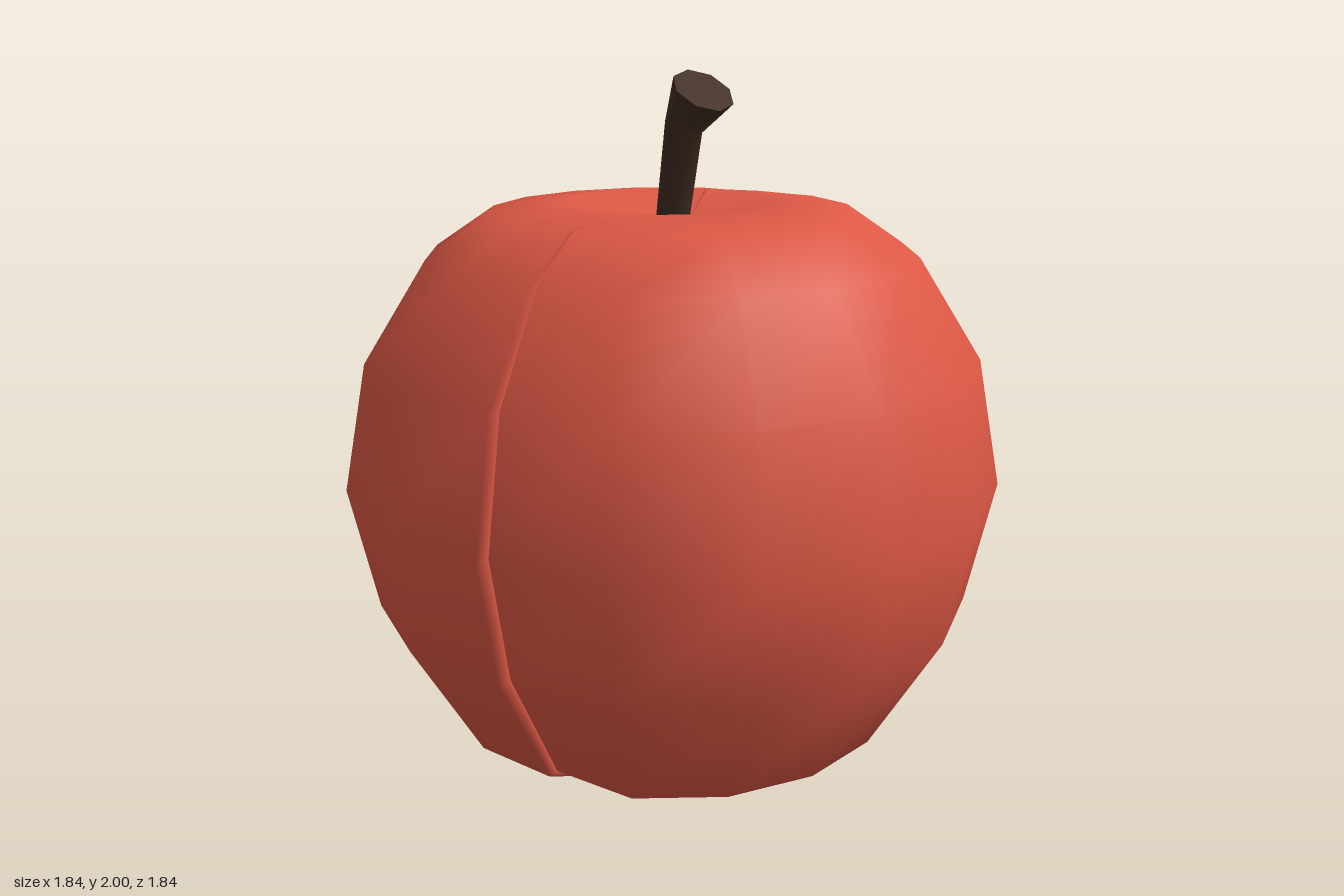
import * as THREE from 'three';

const red = new THREE.MeshStandardMaterial({ color: 0xdd5845 });
red.name = 'fruit red';
const brown = new THREE.MeshStandardMaterial({ color: 0x3f2b21 });
brown.name = 'stem brown';

// Rings from the bottom dimple to the top dimple: radius, height, groove twist
const RINGS = [
  [0, 0.08, 0], [0.12, 0.05, 0], [0.35, 0.03, 0], [0.7, 0.18, 0], [0.92, 0.53, 0],
  [1, 0.88, 0], [0.925, 1.235, 0], [0.735, 1.51, 0], [0.55, 1.625, 0],
  [0.315, 1.65, -0.18], [0.07, 1.55, -0.1], [0, 1.53, 0],
];
const WIDTH = 0.922;
const OUTER = 0.963, INNER = 0.91; // radius factors on either side of the groove

// Half of the body: from the low side of one groove round to the high side of
// the next, closed by the small step down into that groove
function lobeGeometry() {
  const columns = [];
  for (let i = 0; i <= 8; i++) {
    columns.push([Math.PI * (3 / 8 - i / 8), i === 0 ? INNER : i === 8 ? OUTER : 1, i === 0 || i === 8]);
  }
  columns.push([-Math.PI * 5 / 8, INNER, true]);
  const n = columns.length, positions = [], index = [];
  RINGS.forEach(([r, y, twist], row) => {
    columns.forEach(([angle, factor, groove], col) => {
      const a = angle + (groove ? twist : 0), d = r * WIDTH * factor;
      positions.push(d * Math.cos(a), y, d * Math.sin(a));
      if (row < RINGS.length - 1 && col < n - 1) {
        const p = row * n + col;
        if (row > 0) index.push(p, p + 1, p + n + 1);
        if (row < RINGS.length - 2) index.push(p, p + n + 1, p + n);
        else index.push(p, p + 1, p + n);
        if (row === 0) index.splice(index.length - 3, 3, p, p + n + 1, p + n);
      }
    });
  });
  const g = new THREE.BufferGeometry();
  g.setAttribute('position', new THREE.Float32BufferAttribute(positions, 3));
  g.setIndex(index);
  g.computeVertexNormals();
  return g;
}

// Bent stem: a cylinder whose three rings are moved, tilted and scaled
function stemGeometry() {
  const sections = [
    { x: -0.012, y: 1.53, r: 0.045, tilt: 0.15 },
    { x: 0.052, y: 1.85, r: 0.052, tilt: 0.4 },
    { x: 0.14, y: 1.95, r: 0.086, tilt: 0.62 },
  ];
  const g = new THREE.CylinderGeometry(1, 1, 2, 8, 2);
  const p = g.attributes.position;
  for (let i = 0; i < p.count; i++) {
    const s = sections[Math.round(p.getY(i)) + 1];
    const x = p.getX(i) * s.r, z = p.getZ(i) * s.r;
    p.setXYZ(i, s.x + x * Math.cos(s.tilt), s.y - x * Math.sin(s.tilt), z);
  }
  g.computeVertexNormals();
  return g;
}

export function createModel() {
  const model = new THREE.Group();
  model.name = 'fruit';
  const add = (name, geometry, material) => {
    const mesh = new THREE.Mesh(geometry, material);
    mesh.name = name;
    model.add(mesh);
    return mesh;
  };

  // Two equal lobes, half a turn apart
  const lobe = lobeGeometry();
  add('rightLobe', lobe, red);
  add('leftLobe', lobe, red).rotation.y = Math.PI;

  // Stem, its collar and the blossom end underneath
  add('stem', stemGeometry(), brown);
  const collar = add('stemCollar', new THREE.SphereGeometry(0.07, 8, 4), brown);
  collar.scale.y = 0.3;
  collar.position.y = 1.545;
  const blossom = add('blossomEnd', new THREE.SphereGeometry(0.125, 8, 4), brown);
  blossom.scale.y = 0.32;
  blossom.position.y = 0.04;

  return model;
}
